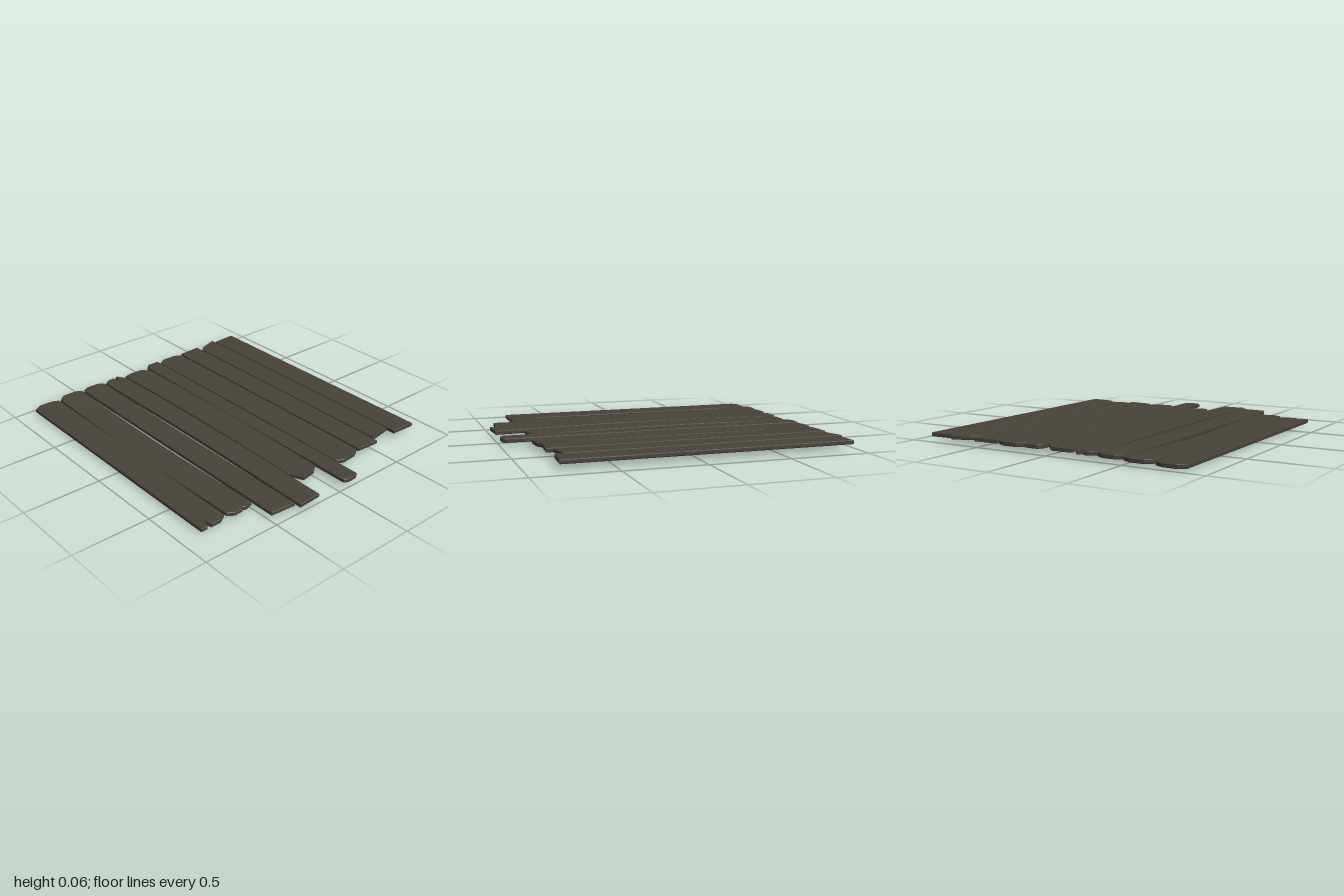
import * as THREE from 'three';

const THICK = 0.026;
const GAP = 0.009;
const BEVEL = 0.004;
const LENGTH_SEGMENTS = 12;
const NOTCH_HALF = 0.08;

// Planks from back to front. Each end reaches x; slant insets its front
// (or, if negative, its back) corner; cutBack and cutFront chamfer the corners;
// a notch is a V-shaped split at the given fraction of the width.
const PLANKS = [
  { width: 0.164, y: 0.044, right: { x: -0.98, slant: 0.01 }, left: { x: 0.81, slant: 0.01 } },
  { width: 0.155, y: 0.044, right: { x: -1, slant: 0.05, cutFront: 0.02 }, left: { x: 0.77, slant: -0.025 } },
  { width: 0.16, y: 0.044, right: { x: -0.98, slant: 0.01 }, left: { x: 0.81, slant: 0.01 } },
  { width: 0.193, y: 0.04, bow: 0.003, right: { x: -0.985, cutBack: 0.025, cutFront: 0.03 }, left: { x: 0.832, slant: -0.015, cutBack: 0.025, cutFront: 0.03 } },
  { width: 0.112, y: 0.043, right: { x: -0.98, cutFront: 0.03 }, left: { x: 0.995, cutBack: 0.015, cutFront: 0.015 } },
  { width: 0.187, y: 0.038, bow: 0.011, right: { x: -0.957, cutBack: 0.05, cutFront: 0.012 }, left: { x: 0.815, slant: -0.03, cutBack: 0.03, cutFront: 0.1 } },
  { width: 0.157, y: 0.038, bow: 0.011, right: { x: -0.985, slant: 0.02, cutBack: 0.07, cutFront: 0.02, notch: 0.42, depth: 0.065 }, left: { x: 0.995, slant: -0.01 } },
  { width: 0.164, y: 0.036, bow: -0.003, right: { x: -0.98, cutBack: 0.02, cutFront: 0.025 }, left: { x: 0.957, slant: 0.012 } },
  { width: 0.181, y: 0.032, bow: -0.018, right: { x: -0.99, cutBack: 0.02, cutFront: 0.04 }, left: { x: 0.812, slant: -0.012, cutBack: 0.012, cutFront: 0.03, notch: 0.4, depth: 0.01 } },
  { width: 0.183, y: 0.025, right: { x: -0.98, cutBack: 0.02, cutFront: 0.03 }, left: { x: 0.8, cutBack: 0.03, notch: 0.68, depth: 0.045 } },
];

// x of a broken end at fraction t across the plank, t = 0 at the back.
function endX({ x, slant = 0, cutBack = 0, cutFront = 0, notch = 0, depth = 0 }, t, bevel) {
  const inset =
    (slant > 0 ? slant * t : -slant * (1 - t)) +
    cutBack * Math.max(0, 1 - t / 0.25) +
    cutFront * Math.max(0, (t - 0.75) / 0.25) +
    depth * Math.max(0, 1 - Math.abs(t - notch) / NOTCH_HALF) +
    bevel;
  return x - Math.sign(x) * inset;
}

// A subdivided box reshaped to the end outlines, bevelled and bowed.
function plankGeometry({ width, y, bow = 0, left, right }, zBack) {
  const notch = left.notch ?? right.notch;
  const rows = [0, 0.25, 0.75, 1];
  if (notch) rows.push(notch - NOTCH_HALF, notch, notch + NOTCH_HALF);
  rows.sort((a, b) => a - b);

  const last = rows.length - 1;
  const box = new THREE.BoxGeometry(1, 1, 1, LENGTH_SEGMENTS, 3, last);
  const pos = box.attributes.position;
  const heights = [-THICK / 2, BEVEL - THICK / 2, THICK / 2 - BEVEL, THICK / 2];
  for (let i = 0; i < pos.count; i++) {
    const u = pos.getX(i) + 0.5;
    const level = Math.round((pos.getY(i) + 0.5) * 3);
    const t = rows[Math.round((pos.getZ(i) + 0.5) * last)];
    const bevel = level === 0 || level === 3 ? BEVEL : 0;
    const sideBevel = t === 0 ? bevel : t === 1 ? -bevel : 0;
    pos.setXYZ(
      i,
      THREE.MathUtils.lerp(endX(right, t, bevel), endX(left, t, bevel), u),
      y + bow * Math.sin(Math.PI * u) + heights[level],
      zBack + width * t + sideBevel
    );
  }
  const flat = box.toNonIndexed();
  flat.computeVertexNormals();
  return flat;
}

export function createModel() {
  const model = new THREE.Group();
  model.name = 'plankPlatform';
  const wood = new THREE.MeshStandardMaterial({ color: 0x48423b });
  wood.name = 'dark weathered wood';

  // Lay the planks side by side, centred on z = 0
  const total = PLANKS.reduce((sum, p) => sum + p.width + GAP, -GAP);
  let z = -total / 2;
  PLANKS.forEach((spec, i) => {
    const plank = new THREE.Mesh(plankGeometry(spec, z), wood);
    plank.name = `plank${i + 1}`;
    model.add(plank);
    z += spec.width + GAP;
  });
  return model;
}
